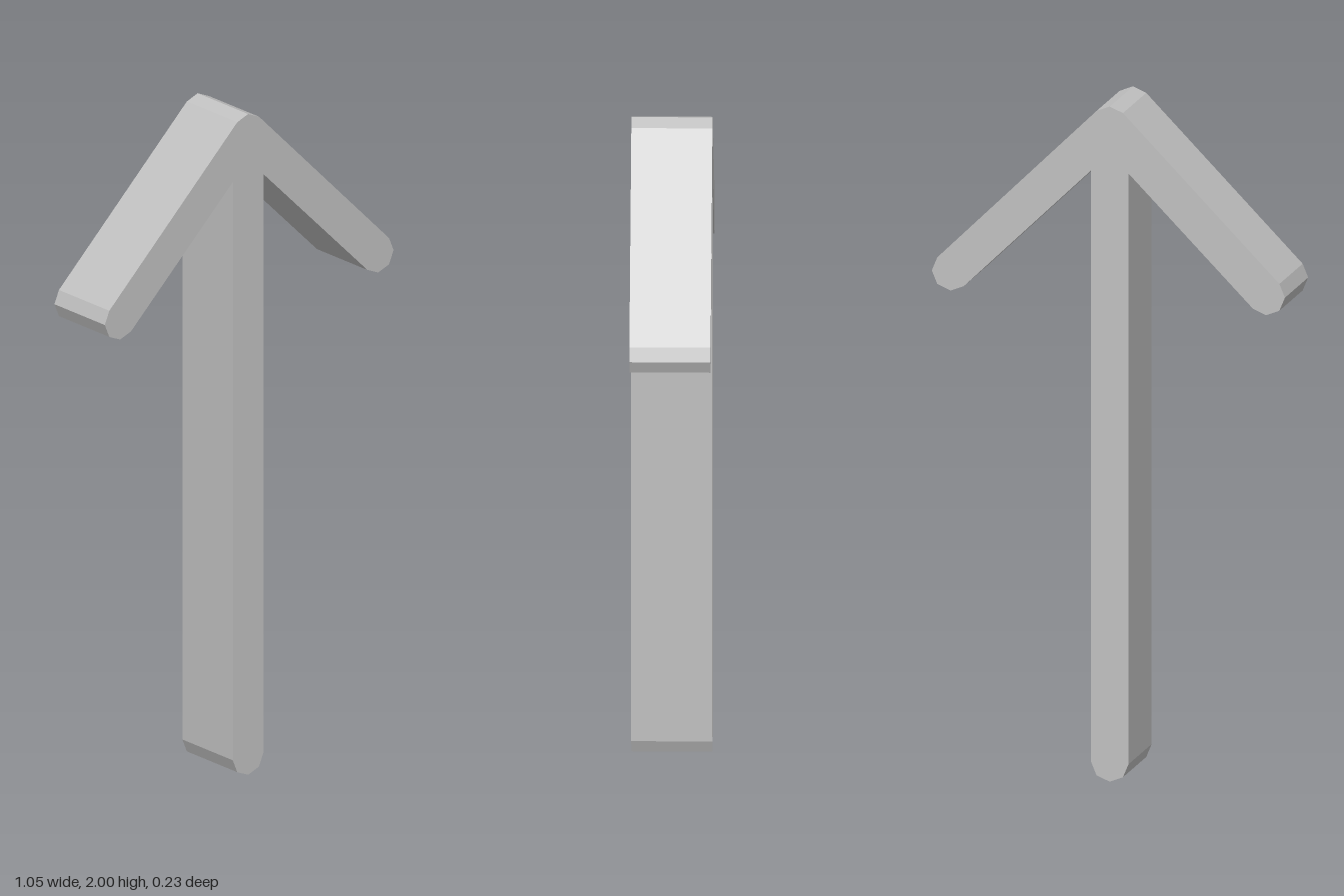
import * as THREE from 'three';

const R = 0.056;      // half width of every bar
const DEPTH = 0.232;  // thickness along z
const SHIFT = -0.004; // shaft sits a hair off centre

// Points of a faceted round end, turning clockwise from one angle to another
function cap(cx, cy, fromDeg, toDeg) {
  const steps = Math.round((fromDeg - toDeg) / 45);
  return Array.from({ length: steps + 1 }, (_, i) => {
    const a = THREE.MathUtils.degToRad(fromDeg - i * 45);
    return new THREE.Vector2(cx + R * Math.cos(a), cy + R * Math.sin(a));
  });
}

export function createModel() {
  const group = new THREE.Group();
  group.name = 'arrow';

  const grey = new THREE.MeshStandardMaterial({ color: 0xc0c0c0, flatShading: true });
  grey.name = 'light grey';

  // One continuous outline: tip, right arm, shaft, left arm
  const outline = [
    ...cap(SHIFT, 2 - R, 135, 45),
    ...cap(0.471, 1.474, 45, -135),
    new THREE.Vector2(SHIFT + R, 1.806),
    ...cap(SHIFT, R, 0, -180),
    new THREE.Vector2(SHIFT - R, 1.806),
    ...cap(-0.471, 1.474, -45, -225),
  ];

  const geometry = new THREE.ExtrudeGeometry(new THREE.Shape(outline), {
    depth: DEPTH,
    bevelEnabled: false,
  });
  geometry.translate(0, 0, -DEPTH / 2);

  const arrow = new THREE.Mesh(geometry, grey);
  arrow.name = 'arrowBody';
  group.add(arrow);
  return group;
}
